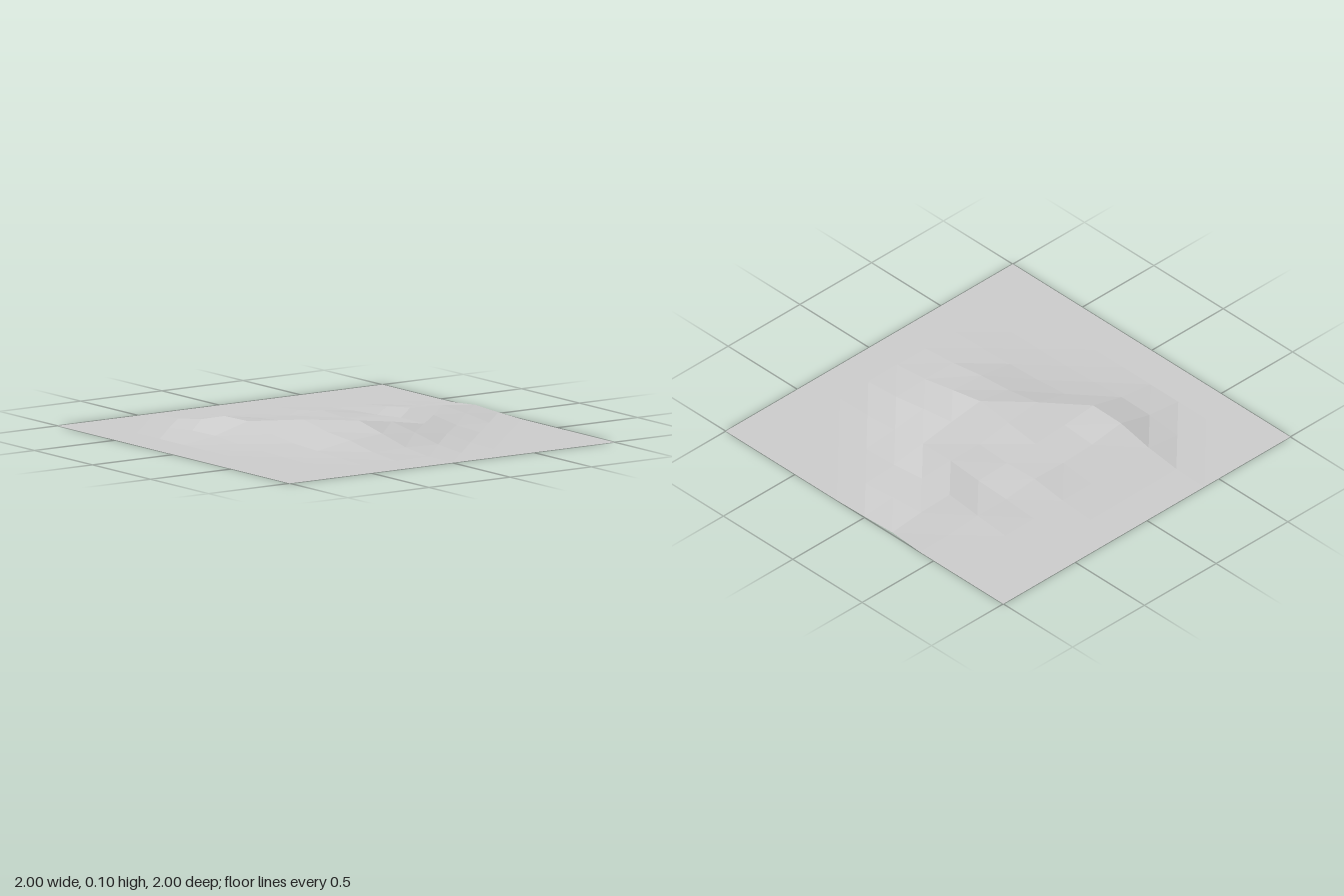
import * as THREE from 'three';

const STEP = 0.2;
const CELLS = 10;

// Height profiles across x (-0.8 to 0.8), in thousandths, from back (z = -1) forwards.
// Rows not listed, and the side borders, lie at ground level.
const PROFILES = [
  [0, 0, 0, 15, 6, 0, 0, 0, 0],
  [0, 0, 3, 35, 22, 3, 0, 0, 0],
  [0, 2, 20, 42, 34, 12, 4, 0, 0],
  [0, 5, 18, 26, 42, 40, 20, 4, 0],
  [0, 13, 40, 32, 42, 72, 46, 14, 0],
  [0, 14, 36, 46, 72, 98, 60, 20, 2],
  [2, 20, 46, 60, 95, 62, 46, 16, 0],
  [4, 30, 75, 78, 42, 22, 14, 6, 0],
  [0, 5, 22, 25, 12, 5, 2, 0, 0],
];

function gridPoint(i, j) {
  const height = (PROFILES[j]?.[i - 1] ?? 0) / 1000;
  return new THREE.Vector3(i * STEP - 1, height, j * STEP - 1);
}

// Faceted sheet: every square is split along its shorter diagonal
function terrainGeometry() {
  const points = [];
  for (let j = 0; j < CELLS; j++) {
    for (let i = 0; i < CELLS; i++) {
      const a = gridPoint(i, j);
      const b = gridPoint(i, j + 1);
      const c = gridPoint(i + 1, j + 1);
      const d = gridPoint(i + 1, j);
      if (a.distanceTo(c) < b.distanceTo(d)) points.push(a, b, c, a, c, d);
      else points.push(a, b, d, b, c, d);
    }
  }
  const geometry = new THREE.BufferGeometry().setFromPoints(points);
  geometry.computeVertexNormals(); // unshared corners give flat facets
  return geometry;
}

export function createModel() {
  const group = new THREE.Group();
  group.name = 'terrain';

  const stone = new THREE.MeshStandardMaterial({ color: 0xcccccc, side: THREE.DoubleSide, flatShading: true });
  stone.name = 'light grey';

  const ground = new THREE.Mesh(terrainGeometry(), stone);
  ground.name = 'hillyGround';
  group.add(ground);
  return group;
}
